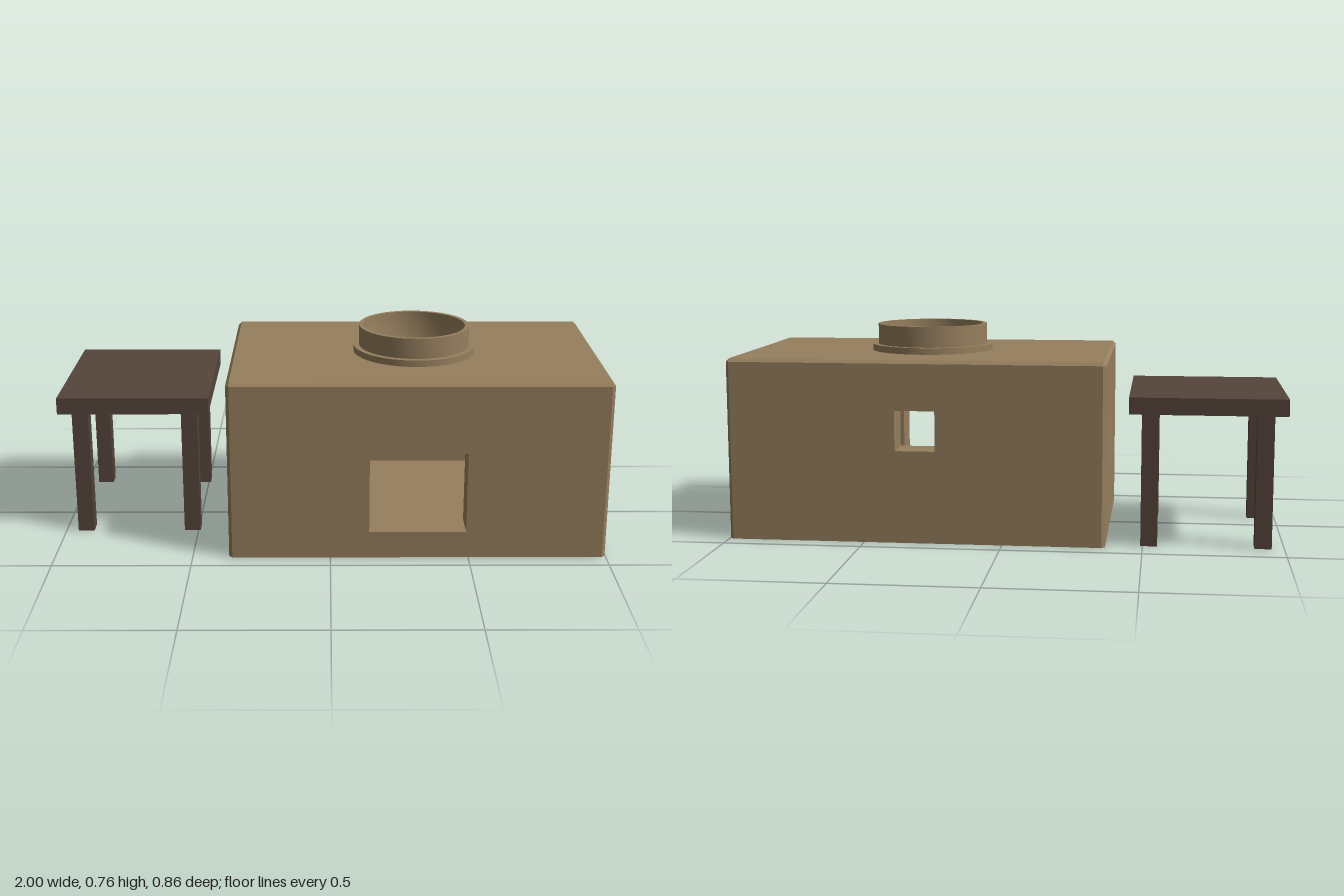
import * as THREE from 'three';
import { toCreasedNormals } from 'three/addons/utils/BufferGeometryUtils.js';

export function createModel() {
  const model = new THREE.Group();
  model.name = 'clayStoveAndTable';
  const clay = new THREE.MeshStandardMaterial({ name: 'clay', color: 0x967f5e, side: THREE.DoubleSide });
  const wood = new THREE.MeshStandardMaterial({ name: 'dark wood', color: 0x54453b });

  const add = (parent, name, geometry, material) => {
    const mesh = new THREE.Mesh(geometry, material);
    mesh.name = name;
    parent.add(mesh);
    return mesh;
  };
  // Box given by its minimum and maximum corners
  const box = (parent, name, material, [x0, y0, z0], [x1, y1, z1]) =>
    add(parent, name, new THREE.BoxGeometry(x1 - x0, y1 - y0, z1 - z0), material)
      .position.set((x0 + x1) / 2, (y0 + y1) / 2, (z0 + z1) / 2);
  const rect = (Type, x0, y0, x1, y1) => new Type([
    new THREE.Vector2(x0, y0), new THREE.Vector2(x1, y0),
    new THREE.Vector2(x1, y1), new THREE.Vector2(x0, y1),
  ]);

  // Stove: a hollow block with a fire opening, a vent and a pot hole
  const stove = new THREE.Group();
  stove.name = 'stove';
  model.add(stove);
  const cx = 0.315, hx = 0.683, hz = 0.43, h = 0.66;
  const c = 0.012, wall = 0.12, floor = 0.1, ceiling = 0.54;
  stove.position.x = cx;

  // Front and back walls with their openings
  const pierced = (name, z, hole) => {
    const shape = rect(THREE.Shape, -hx + c, 0, hx - c, h - c);
    shape.holes.push(rect(THREE.Path, ...hole));
    add(stove, name, new THREE.ExtrudeGeometry(shape, { depth: wall, bevelEnabled: false }), clay).position.z = z;
  };
  pierced('frontWall', hz - wall, [-0.175, floor, 0.175, 0.4]);
  pierced('backWall', -hz, [-0.075, 0.335, 0.07, 0.48]);

  // Side walls and hearth floor
  for (const s of [-1, 1]) {
    const xs = [s * hx, s * (hx - wall)].sort((a, b) => a - b);
    box(stove, s > 0 ? 'leftWall' : 'rightWall', clay, [xs[0], 0, -hz + c], [xs[1], h - c, hz - c]);
  }
  box(stove, 'hearthFloor', clay, [-hx + wall, 0, -hz + wall], [hx - wall, floor, hz - wall]);

  // Top slab with the round pot hole
  const slab = rect(THREE.Shape, -hx + c, -hz + c, hx - c, hz - c);
  slab.holes.push(new THREE.Path().absarc(0, 0, 0.19, 0, Math.PI * 2, true));
  const slabGeometry = new THREE.ExtrudeGeometry(slab, { depth: h - ceiling, bevelEnabled: false, curveSegments: 48 });
  slabGeometry.rotateX(-Math.PI / 2);
  add(stove, 'topSlab', slabGeometry, clay).position.y = ceiling;

  // Chamfered outer edges: vertical corners, top edges and corner tips
  const tri = [];
  const quad = (a, b, d, e) => tri.push(...a, ...b, ...d, ...a, ...d, ...e);
  for (const s of [-1, 1]) {
    const frontEdge = (x, y) => [x, y, s * hz];
    const sideEdge = (z, y) => [s * hx, y, z];
    const xi = hx - c, zi = hz - c, yi = h - c;
    const wind = (a, b, d, e) => (s > 0 ? quad(a, b, d, e) : quad(e, d, b, a));
    wind(frontEdge(-xi, yi), frontEdge(xi, yi), [xi, h, s * zi], [-xi, h, s * zi]);
    wind(sideEdge(zi, yi), sideEdge(-zi, yi), [s * xi, h, -zi], [s * xi, h, zi]);
    for (const t of [-1, 1]) {
      const a = [s * xi, 0, t * hz], b = [s * hx, 0, t * zi];
      const d = [s * hx, yi, t * zi], e = [s * xi, yi, t * hz], tip = [s * xi, h, t * zi];
      if (s * t > 0) {
        quad(a, b, d, e);
        tri.push(...e, ...d, ...tip);
      } else {
        quad(e, d, b, a);
        tri.push(...tip, ...d, ...e);
      }
    }
  }
  const chamfer = new THREE.BufferGeometry();
  chamfer.setAttribute('position', new THREE.Float32BufferAttribute(tri, 3));
  chamfer.computeVertexNormals();
  add(stove, 'chamferedEdges', chamfer, clay);

  // Stepped collar flowing into the tapered pot seat
  const profile = [
    [0.227, 0.655], [0.227, 0.684], [0.206, 0.684], [0.206, 0.76], [0.19, 0.76],
    [0.19, 0.66], [0.165, 0.6], [0.13, 0.56], [0.09, ceiling], [0.19, ceiling],
  ].map(([r, y]) => new THREE.Vector2(r, y));
  add(stove, 'potCollar', toCreasedNormals(new THREE.LatheGeometry(profile, 48), 0.5), clay);

  // Side table
  const table = new THREE.Group();
  table.name = 'table';
  model.add(table);
  box(table, 'tableTop', wood, [-1, 0.48, -0.43], [-0.447, 0.54, 0.225]);
  for (const x of [-0.955, -0.552])
    for (const z of [-0.385, 0.12])
      box(table, 'tableLeg', wood, [x, 0, z], [x + 0.06, 0.48, z + 0.06]);

  return model;
}
